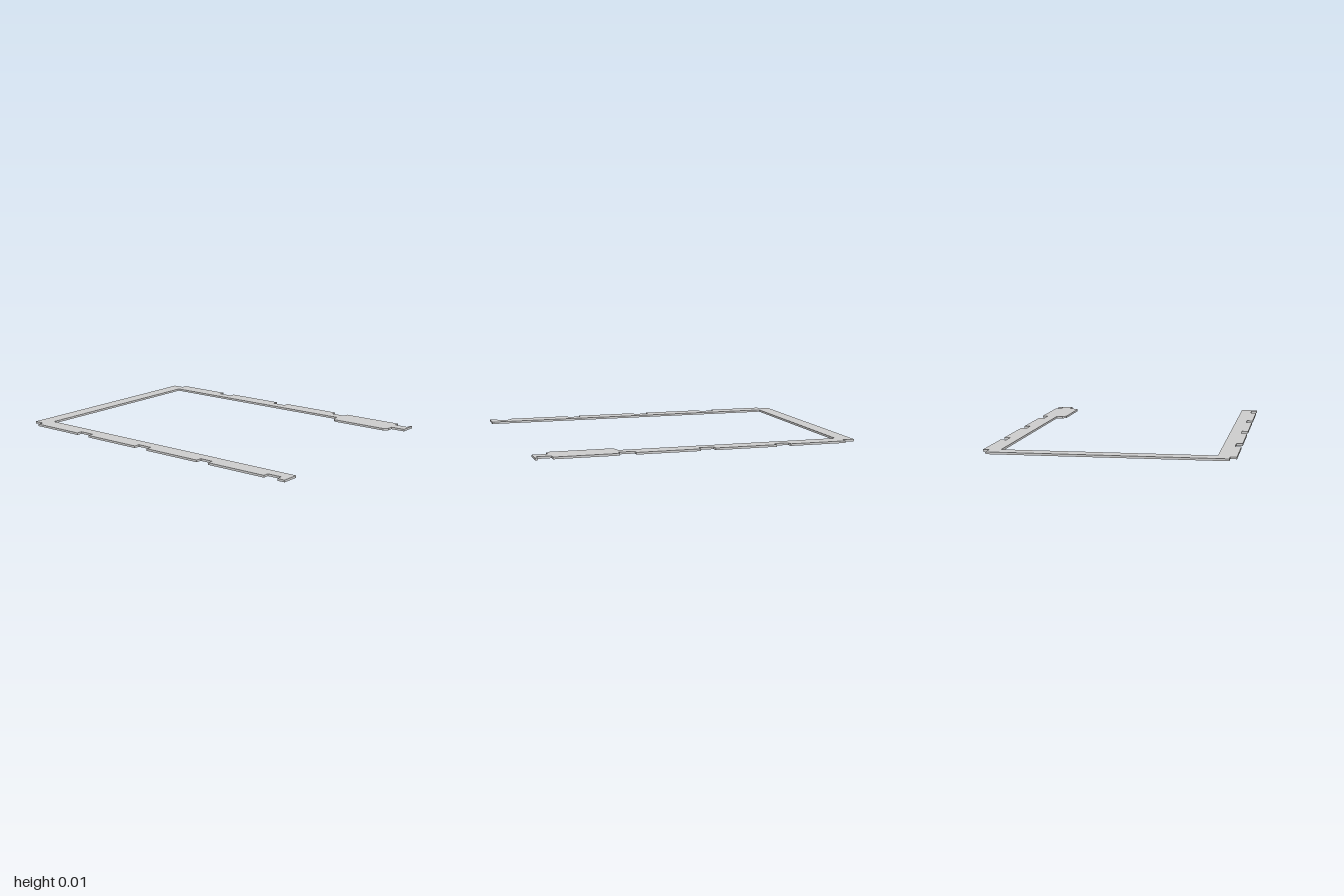
import * as THREE from 'three';

const THICKNESS = 0.013;

// Outer edge of a side rail, back to front: each tab steps out and back in.
function tabEdge(notchX, tabX, tabs) {
  return tabs.flatMap(([z0, z1]) => [[notchX, z0], [tabX, z0], [tabX, z1], [notchX, z1]]);
}

export function createModel() {
  const group = new THREE.Group();
  group.name = 'notchedFrame';

  // Tabs as [start z, end z]; the last one on each side closes the rail end.
  const leftEdge = tabEdge(0.683, 0.72,
    [[-0.925, -0.57], [-0.48, -0.098], [-0.008, 0.38], [0.476, 0.862], [0.947, 0.963]]);
  const rightEdge = tabEdge(-0.688, -0.725,
    [[-0.933, -0.58], [-0.484, -0.095], [0, 0.386], [0.47, 0.862], [0.952, 1]]);
  leftEdge.pop();
  rightEdge.pop();

  // Chamfered pad widening the left rail inwards, front to back.
  const pad = [[0.617, 0.873], [0.579, 0.873], [0.555, 0.849],
    [0.555, 0.487], [0.579, 0.463], [0.617, 0.463]];

  // One closed outline in x, z.
  const outline = [
    [-0.688, -1], [0.683, -1],
    ...leftEdge,
    [0.617, 0.963], ...pad,
    [0.617, -0.905], [-0.617, -0.905], [-0.617, 1],
    ...rightEdge.reverse(),
  ];

  // Flat plate lying on the ground.
  const shape = new THREE.Shape(outline.map(([x, z]) => new THREE.Vector2(x, -z)));
  const geometry = new THREE.ExtrudeGeometry(shape, { depth: THICKNESS, bevelEnabled: false });
  geometry.rotateX(-Math.PI / 2);

  const plate = new THREE.Mesh(geometry,
    new THREE.MeshStandardMaterial({ color: 0xcccccc, flatShading: true }));
  plate.name = 'framePlate';
  group.add(plate);
  return group;
}
